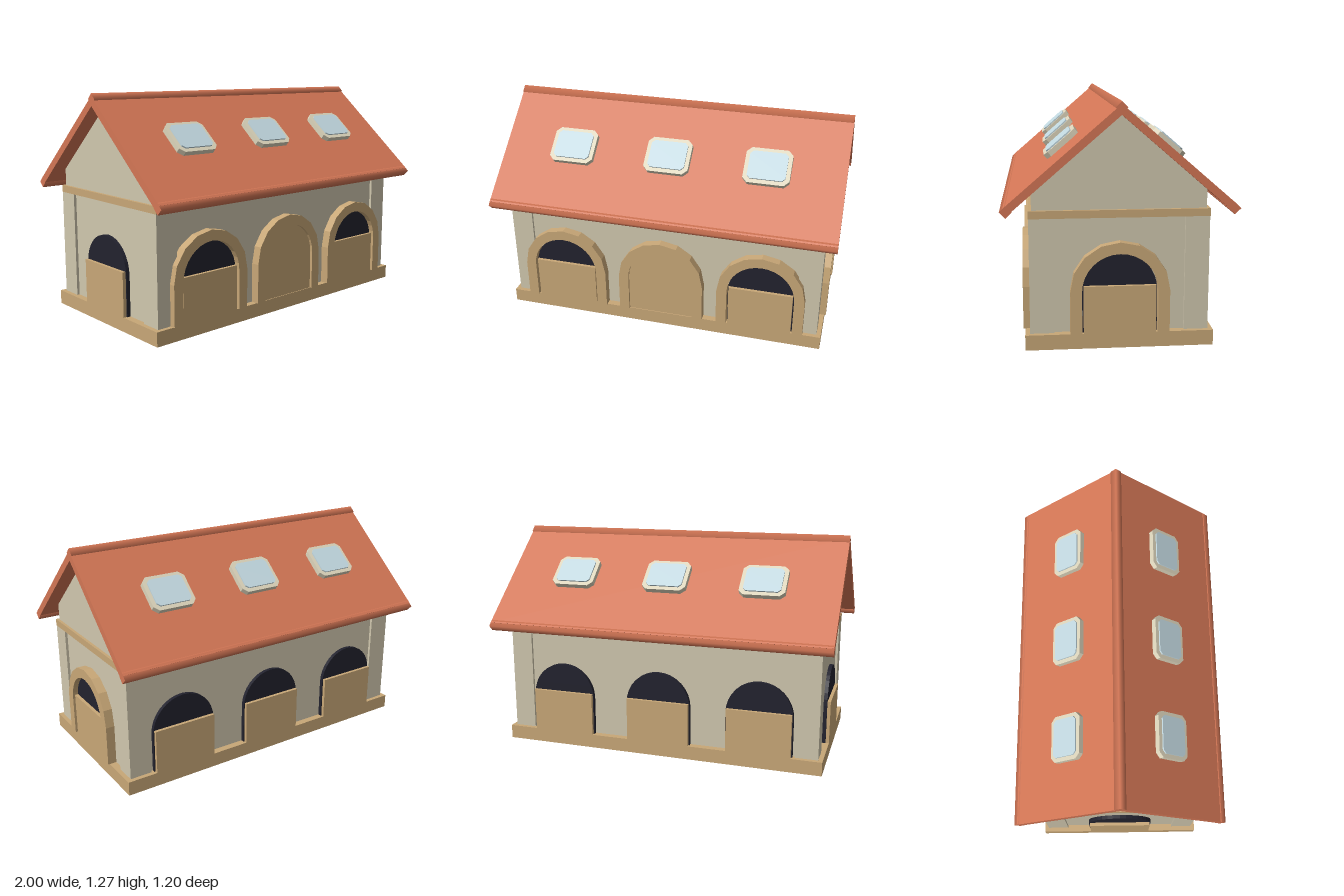
import * as THREE from 'three';

const mat = (name, color, extra = {}) => {
  const m = new THREE.MeshStandardMaterial({ color, ...extra });
  m.name = name;
  return m;
};

export function createModel() {
  const root = new THREE.Group();
  root.name = 'stable';
  const plaster = mat('plaster', 0xd0c7ae);
  const wood = mat('wood', 0xc8a777);
  const tile = mat('roofTile', 0xd37655);
  const dark = mat('darkOpening', 0x22222e);
  const trim = mat('skylightTrim', 0xdcd4bb);
  const glass = mat('glass', 0xc2d8e0);

  const add = (parent, name, geometry, material, x = 0, y = 0, z = 0) => {
    const mesh = new THREE.Mesh(geometry, material);
    mesh.name = name;
    mesh.position.set(x, y, z);
    parent.add(mesh);
    return mesh;
  };
  const box = (parent, name, material, w, h, d, x, y, z) =>
    add(parent, name, new THREE.BoxGeometry(w, h, d), material, x, y, z);
  const shapeOf = (pts) => new THREE.Shape(pts.map(([x, y]) => new THREE.Vector2(x, y)));
  const extrude = (shape, depth) => new THREE.ExtrudeGeometry(shape, { depth, bevelEnabled: false });
  // Extrudes a (z, y) outline along x, centred on x = 0
  const alongX = (pts, length) =>
    extrude(shapeOf(pts), length).translate(0, 0, -length / 2).rotateY(-Math.PI / 2);

  // Plinth, walls with gables, corner posts and the beam under the roof
  box(root, 'plinth', wood, 1.91, 0.08, 0.97, 0, 0.04, 0);
  add(root, 'walls', alongX([[-0.445, 0.08], [0.445, 0.08], [0.445, 0.815], [0, 1.2], [-0.445, 0.815]], 1.83), plaster);
  box(root, 'beam', wood, 1.862, 0.04, 0.924, 0, 0.7, 0);
  for (const sx of [-1, 1])
    for (const sz of [-1, 1])
      box(root, 'cornerPost', plaster, 0.127, 0.6, 0.125, sx * 0.8665, 0.38, sz * 0.3975);

  // Round-headed outline standing on the plinth
  const FLOOR = 0.08, SPRING = 0.305;
  const archPoints = (r, segments) => {
    const pts = [[-r, FLOOR], [r, FLOOR]];
    for (let i = 0; i <= segments; i++) {
      const a = (i / segments) * Math.PI;
      pts.push([r * Math.cos(a), SPRING + r * Math.sin(a)]);
    }
    return pts;
  };
  const frameShape = () => {
    const inner = archPoints(0.195, 16).slice(2).reverse();
    return shapeOf([
      [0.195, FLOOR], [0.255, FLOOR], ...archPoints(0.255, 8).slice(2),
      [-0.255, FLOOR], [-0.195, FLOOR], ...inner,
    ]);
  };

  // One doorway facing local +z; face is the distance of the posts' outer face
  const doorway = (parent, x, face, framed, closed) => {
    const g = new THREE.Group();
    g.name = 'doorway';
    g.position.set(x, 0, face - 0.03);
    parent.add(g);
    if (closed) {
      add(g, 'closedDoor', extrude(shapeOf(archPoints(0.195, 16)), 0.05), wood);
    } else {
      add(g, 'opening', extrude(shapeOf(archPoints(0.192, 16)), 0.036), dark);
      box(g, 'halfDoor', wood, 0.372, 0.25, 0.055, 0, 0.205, 0.0275);
    }
    if (framed) add(g, 'archFrame', extrude(frameShape(), 0.065), wood);
  };
  const side = (name, angle) => {
    const g = new THREE.Group();
    g.name = name;
    g.rotation.y = angle;
    root.add(g);
    return g;
  };
  const front = side('frontDoorways', 0);
  const back = side('backDoorways', Math.PI);
  for (const x of [-0.595, 0, 0.595]) {
    doorway(front, x, 0.46, true, x === 0);
    doorway(back, x, 0.46, false, false);
  }
  doorway(side('rightEndDoorway', Math.PI / 2), 0, 0.93, true, false);
  doorway(side('leftEndDoorway', -Math.PI / 2), 0, 0.93, false, false);

  // Pitched roof with ridge and eave rolls
  add(root, 'roof', alongX([
    [0, 1.2], [0.555, 0.72], [0.582, 0.75], [0, 1.253], [-0.582, 0.75], [-0.555, 0.72],
  ], 2), tile);
  const roll = (name, y, z) =>
    add(root, name, new THREE.CylinderGeometry(0.031, 0.031, 2, 4).rotateZ(Math.PI / 2), tile, 0, y, z);
  roll('ridgeRoll', 1.236, 0);
  roll('eaveRoll', 0.732, 0.568);
  roll('eaveRoll', 0.732, -0.568);

  // Skylights on both slopes
  const chamfered = (w, h, c) => shapeOf([
    [-w + c, -h], [w - c, -h], [w, -h + c], [w, h - c],
    [w - c, h], [-w + c, h], [-w, h - c], [-w, -h + c],
  ]);
  const pitch = Math.atan2(0.865, 1);
  for (const angle of [0, Math.PI]) {
    const slope = side('skylights', angle);
    for (const x of [-0.57, 0, 0.57]) {
      const g = new THREE.Group();
      g.name = 'skylight';
      g.position.set(x, 1.253 - 0.865 * 0.277, 0.277);
      g.rotation.x = pitch - Math.PI / 2;
      slope.add(g);
      add(g, 'skylightFrame', extrude(chamfered(0.13, 0.107, 0.028), 0.04), trim, 0, 0, -0.01);
      add(g, 'skylightPane', extrude(chamfered(0.107, 0.084, 0.018), 0.008), glass, 0, 0, 0.03);
    }
  }
  return root;
}
